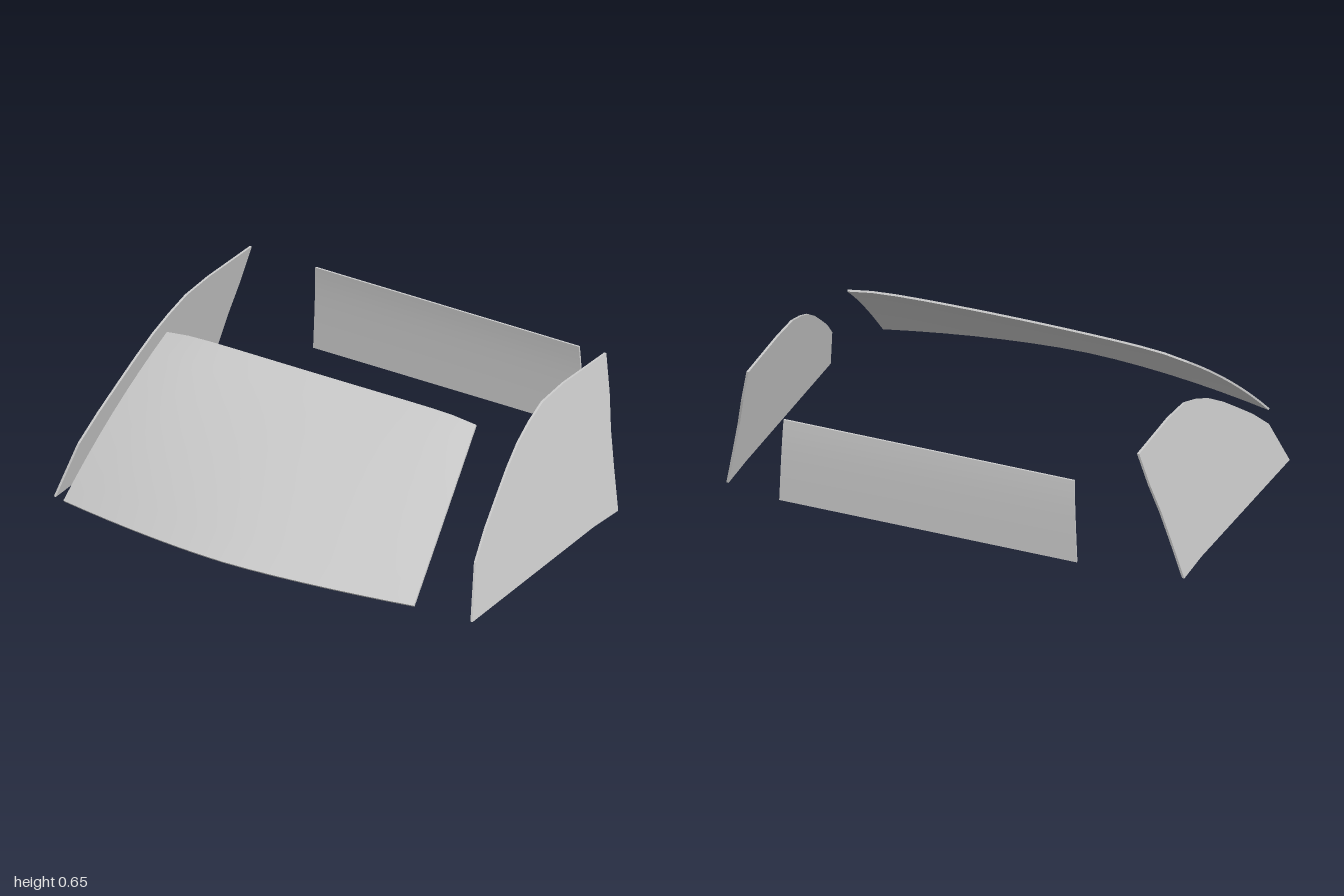
import * as THREE from 'three';
import { toCreasedNormals } from 'three/addons/utils/BufferGeometryUtils.js';

const material = new THREE.MeshStandardMaterial({ color: 0xcccccc, side: THREE.DoubleSide });

// Closed thin shell: outer surface point(u, v), inner surface shifted by `inward`
function shell(point, nu, nv, inward) {
  const pos = [], idx = [];
  const row = nu + 1, layer = row * (nv + 1);
  for (let k = 0; k < 2; k++)
    for (let j = 0; j <= nv; j++)
      for (let i = 0; i <= nu; i++) {
        const p = point(i / nu, j / nv);
        pos.push(...p.map((c, n) => c + k * inward[n]));
      }
  const quad = (a, b, c, d) => idx.push(a, b, c, a, c, d);
  for (let j = 0; j < nv; j++)
    for (let i = 0; i < nu; i++) {
      const a = j * row + i, b = a + 1, c = b + row, d = a + row;
      quad(a, b, c, d);
      quad(a + layer, d + layer, c + layer, b + layer);
    }
  // Rim joining both surfaces
  const rim = (a, b) => quad(a, a + layer, b + layer, b);
  for (let i = 0; i < nu; i++) {
    rim(i, i + 1);
    rim(nv * row + i + 1, nv * row + i);
  }
  for (let j = 0; j < nv; j++) {
    rim((j + 1) * row, j * row);
    rim(j * row + nu, (j + 1) * row + nu);
  }
  const geo = new THREE.BufferGeometry();
  geo.setAttribute('position', new THREE.Float32BufferAttribute(pos, 3));
  geo.setIndex(idx);
  return toCreasedNormals(geo, 0.6);
}

function addMesh(group, name, geo) {
  const mesh = new THREE.Mesh(geo, material);
  mesh.name = name;
  group.add(mesh);
}

// Side pane outline as [z, y]
const sideOutline = [
  [0.53, 0], [0.43, 0.21], [0.32, 0.31], [0.2, 0.402], [0.1, 0.477], [0, 0.542],
  [-0.1, 0.59], [-0.21, 0.63], [-0.37, 0.645], [-0.68, 0.645], [-0.65, 0.49],
  [-0.61, 0.35], [-0.58, 0.2], [-0.55, 0.03], [-0.37, 0.034],
];

// Flat pane leaning inwards towards the roof; s is the side of the car
function sidePane(s) {
  const shape = new THREE.Shape(sideOutline.map(([z, y]) => new THREE.Vector2(-s * z, y)));
  const geo = new THREE.ExtrudeGeometry(shape, { depth: 0.01, bevelEnabled: false });
  const p = geo.attributes.position;
  for (let i = 0; i < p.count; i++) {
    const a = p.getX(i), y = p.getY(i), c = p.getZ(i);
    p.setXYZ(i, s * (0.99 - 0.23 * y + c), y, -s * a);
  }
  geo.computeVertexNormals();
  return geo;
}

export function createModel() {
  const group = new THREE.Group();

  // Windshield: sloped, bowed across and slightly bulged along its slope
  addMesh(group, 'windshield', shell((u, v) => {
    const t = 2 * u - 1, e = Math.abs(t);
    const bulge = 4 * v * (1 - v) * 0.014;
    const x = t * (THREE.MathUtils.lerp(0.837, 0.738, v) + bulge * 0.6);
    const bottom = [0.12 - 0.014 * e ** 2, 0.83 - 0.12 * e ** 1.7];
    const top = [0.655 - 0.007 * e ** 2 - 0.018 * e ** 8, 0.118 - 0.016 * e ** 2];
    const y = THREE.MathUtils.lerp(bottom[0], top[0], v) + bulge;
    const z = THREE.MathUtils.lerp(bottom[1], top[1], v) + bulge * 0.5;
    return [x, y, z];
  }, 14, 8, [0, -0.007, -0.005]));

  // Side panes
  addMesh(group, 'leftSideWindow', sidePane(1));
  addMesh(group, 'rightSideWindow', sidePane(-1));

  // Rear window: nearly upright, curling forwards at the top
  addMesh(group, 'rearWindow', shell((u, v) => [
    (1 - 2 * u) * (0.645 - 0.015 * v),
    0.18 + 0.37 * v,
    -0.835 + 0.009 * v ** 4,
  ], 1, 8, [0, 0, 0.008]));

  return group;
}
